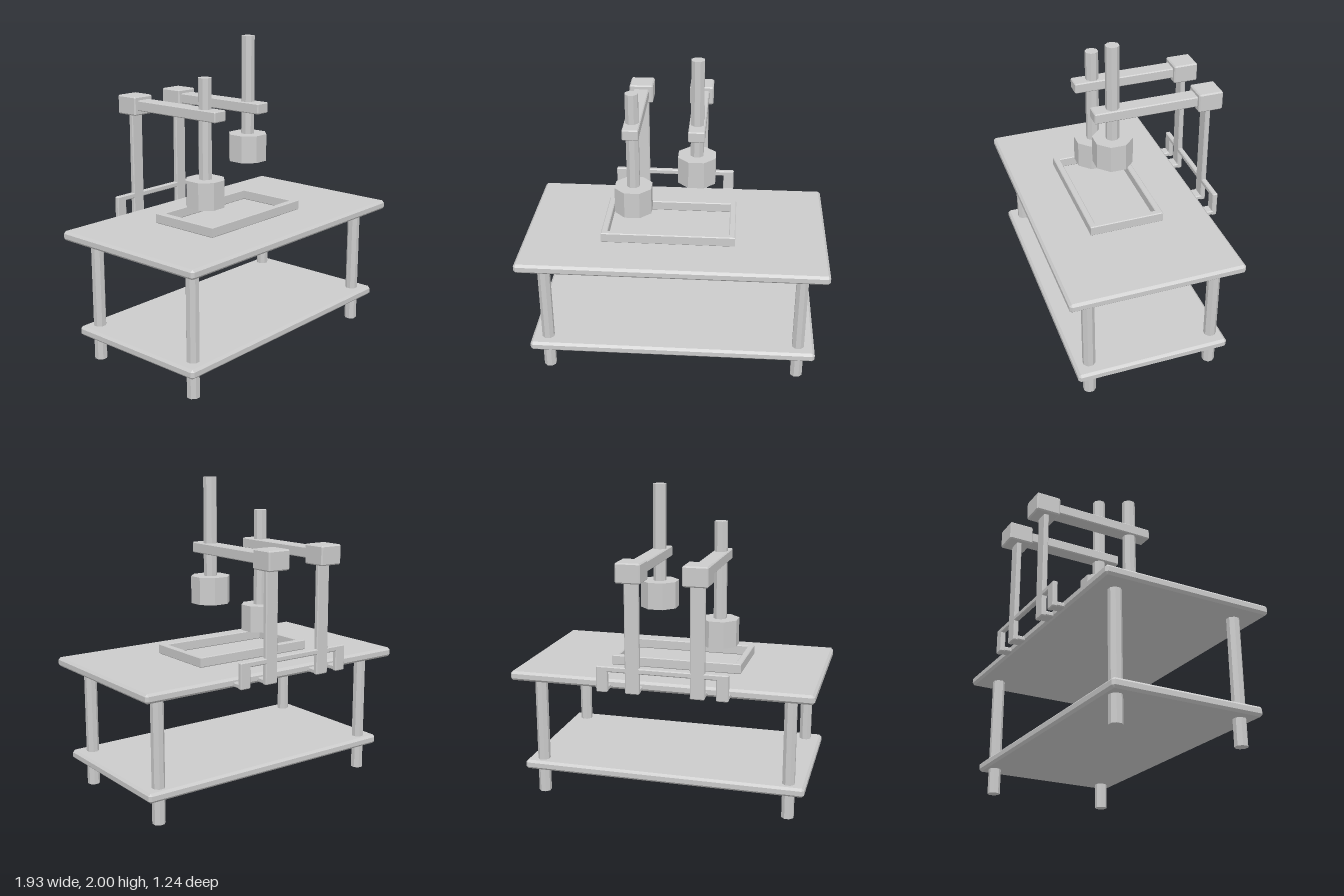
import * as THREE from 'three';
import { ConvexGeometry } from 'three/addons/geometries/ConvexGeometry.js';

const material = new THREE.MeshStandardMaterial({ color: 0xcccccc, flatShading: true });

function add(parent, name, geometry, x = 0, y = 0, z = 0) {
  const mesh = new THREE.Mesh(geometry, material);
  mesh.name = name;
  mesh.position.set(x, y, z);
  parent.add(mesh);
  return mesh;
}

// Box with chamfered edges, given by its [min, max] range on each axis
function block(parent, name, [x0, x1], [y0, y1], [z0, z1], b = 0.006) {
  const h = [(x1 - x0) / 2, (y1 - y0) / 2, (z1 - z0) / 2];
  const points = [];
  for (const sx of [-1, 1]) for (const sy of [-1, 1]) for (const sz of [-1, 1]) {
    for (let axis = 0; axis < 3; axis++) {
      const p = h.map((v, i) => (i === axis ? v : v - b));
      points.push(new THREE.Vector3(sx * p[0], sy * p[1], sz * p[2]));
    }
  }
  return add(parent, name, new ConvexGeometry(points), (x0 + x1) / 2, (y0 + y1) / 2, (z0 + z1) / 2);
}

// Upright octagonal bar with flat sides facing the axes; r is half its width
function octagon(parent, name, r, y0, y1, x, z) {
  const geometry = new THREE.CylinderGeometry(r / Math.cos(Math.PI / 8), r / Math.cos(Math.PI / 8), y1 - y0, 8);
  geometry.rotateY(Math.PI / 8);
  return add(parent, name, geometry, x, (y0 + y1) / 2, z);
}

function rectangle(PathType, x0, x1, y0, y1) {
  return new PathType([[x0, y0], [x1, y0], [x1, y1], [x0, y1]].map(([x, y]) => new THREE.Vector2(x, y)));
}

export function createModel() {
  const model = new THREE.Group();
  model.name = 'pressTable';

  // Table: top, lower shelf and four legs
  const table = new THREE.Group();
  table.name = 'table';
  model.add(table);
  block(table, 'tableTop', [-0.965, 0.965], [0.79, 0.85], [-0.48, 0.62], 0.015);
  block(table, 'lowerShelf', [-0.915, 0.915], [0.165, 0.225], [-0.415, 0.565], 0.015);
  for (const x of [-0.81, 0.81]) for (const z of [-0.34, 0.47]) {
    octagon(table, 'leg', 0.0375, 0, 0.8, x, z);
  }

  // Open rectangular frame lying on the table
  const b = 0.005;
  const outline = rectangle(THREE.Shape, -0.465 + b, 0.385 - b, -0.31 + b, 0.17 - b);
  outline.holes.push(rectangle(THREE.Path, -0.425 - b, 0.345 + b, -0.27 - b, 0.13 + b));
  const frame = new THREE.ExtrudeGeometry(outline, {
    depth: 0.065 - 2 * b, bevelEnabled: true, bevelSize: b, bevelThickness: b, bevelSegments: 1,
  });
  frame.rotateX(-Math.PI / 2);
  add(model, 'trayFrame', frame, 0, 0.85 + b, 0);

  // Two presses: bracketed post, elbow, arm, rod and weight
  const presses = [
    { name: 'rightPress', x: -0.275, weightY: 0.97, rodTop: 1.775 },
    { name: 'leftPress', x: 0.13, weightY: 1.2, rodTop: 2 },
  ];
  for (const { name, x, weightY, rodTop } of presses) {
    const press = new THREE.Group();
    press.name = name;
    model.add(press);
    const span = (r) => [x - r, x + r];
    block(press, 'postFoot', span(0.045), [0.795, 0.825], [-0.55, -0.47]);
    block(press, 'post', span(0.045), [0.79, 1.5], [-0.555, -0.522]);
    block(press, 'elbow', span(0.078), [1.485, 1.608], [-0.62, -0.46], 0.008);
    block(press, 'arm', span(0.051), [1.515, 1.583], [-0.47, 0.207]);
    octagon(press, 'rod', 0.04, weightY + 0.02, rodTop, x, 0.08);
    octagon(press, 'weight', 0.117, weightY, weightY + 0.175, x, 0.08);
  }

  // Low guard rail behind the table, bent down to feet at both ends
  const rail = new THREE.Group();
  rail.name = 'rearRail';
  model.add(rail);
  block(rail, 'railBar', [-0.465, 0.36], [0.92, 0.955], [-0.555, -0.522]);
  for (const x of [[-0.465, -0.39], [0.288, 0.36]]) {
    block(rail, 'railUpright', x, [0.79, 0.955], [-0.555, -0.522]);
    block(rail, 'railFoot', x, [0.795, 0.825], [-0.55, -0.47]);
  }

  return model;
}
